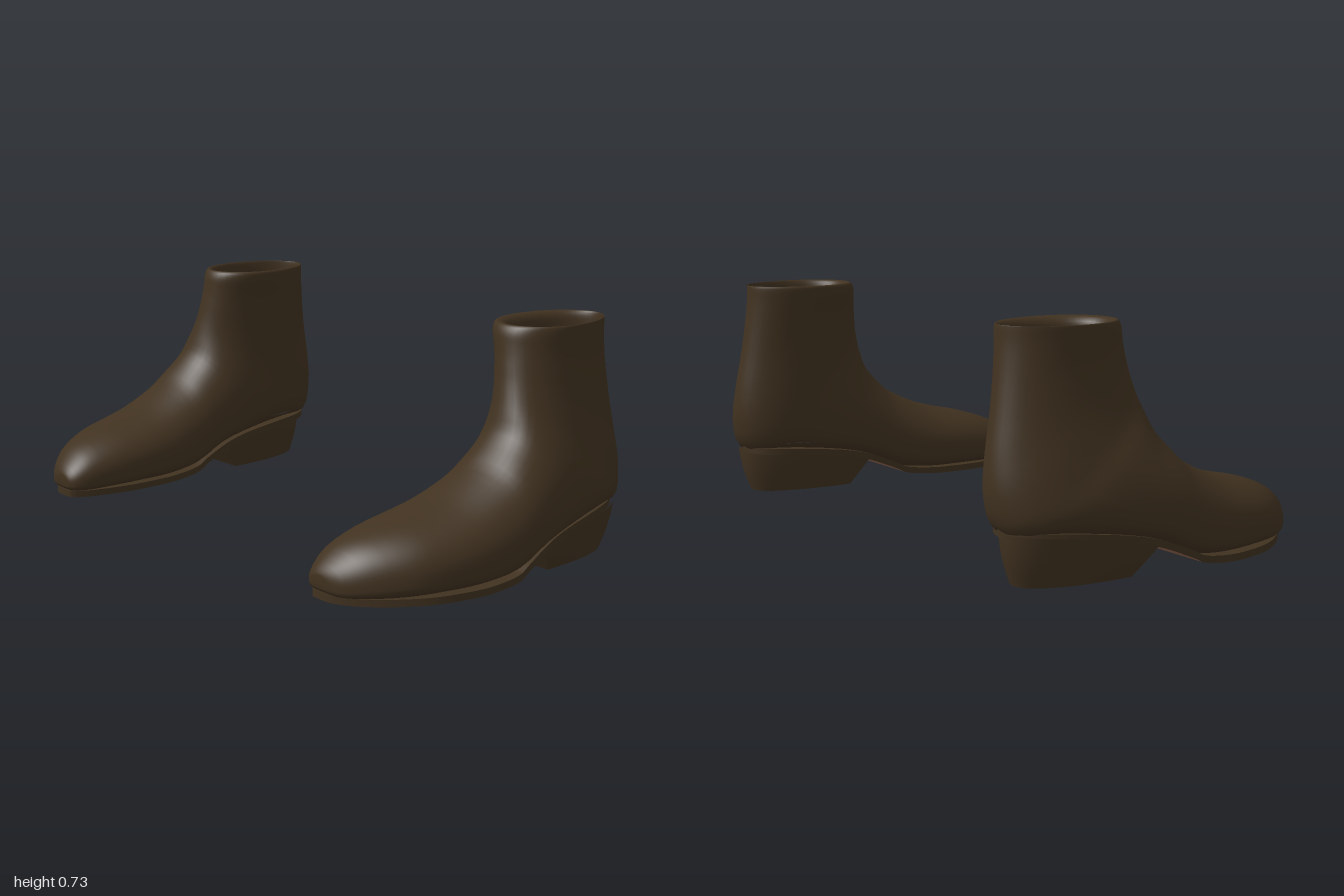
import * as THREE from 'three';
import { toCreasedNormals } from 'three/addons/utils/BufferGeometryUtils.js';

const leather = new THREE.MeshStandardMaterial({ color: 0x413220 });
leather.name = 'dark brown leather';
const soleLeather = new THREE.MeshStandardMaterial({ color: 0x946850 });
soleLeather.name = 'tan sole leather';
const rubber = new THREE.MeshStandardMaterial({ color: 0x2a2a2b });
rubber.name = 'dark grey rubber';

// Smoothly resample rows of numbers, n steps between neighbours
function resample(rows, n) {
  const out = [];
  const row = (i) => rows[Math.min(Math.max(i, 0), rows.length - 1)];
  for (let k = 0; k <= (rows.length - 1) * n; k++) {
    const i = Math.min(Math.floor(k / n), rows.length - 2);
    const t = k / n - i;
    out.push(row(i).map((p, c) => {
      const q = row(i + 1)[c];
      const m0 = (q - row(i - 1)[c]) / 2, m1 = (row(i + 2)[c] - p) / 2;
      const t2 = t * t, t3 = t2 * t;
      return p * (2 * t3 - 3 * t2 + 1) + m0 * (t3 - 2 * t2 + t) + q * (3 * t2 - 2 * t3) + m1 * (t3 - t2);
    }));
  }
  return out;
}

function build(points, index) {
  const g = new THREE.BufferGeometry();
  g.setAttribute('position', new THREE.Float32BufferAttribute(points.flat(), 3));
  g.setIndex(index);
  g.computeVertexNormals();
  return g;
}

// Skin a series of rings; optionally close the first ring with a fan
function loft(rings, closed = true, capStart = false) {
  const n = rings[0].length, index = [];
  const points = rings.flat();
  for (let i = 0; i < rings.length - 1; i++) {
    for (let j = 0; j < (closed ? n : n - 1); j++) {
      const a = i * n + j, b = i * n + (j + 1) % n;
      index.push(a, a + n, b, b, a + n, b + n);
    }
  }
  if (capStart) {
    points.push(middle(rings[0]));
    for (let j = 0; j < n; j++) index.push(points.length - 1, j, (j + 1) % n);
  }
  return build(points, index);
}

const middle = (ring) => [0, 1, 2].map((c) => ring.reduce((s, p) => s + p[c], 0) / ring.length);

// Fan that closes the last ring of a loft
function endCap(ring) {
  const index = [], n = ring.length;
  for (let j = 0; j < n; j++) index.push(n, (j + 1) % n, j);
  return build([...ring, middle(ring)], index);
}

// Upper sections from toe to cuff, then down the inside:
// [instep z, instep y, sole/back z, sole/back y, inner x, outer x]
const UPPER = [
  [0.563, 0.085, 0.56, 0.045, 0.665, 0.74],
  [0.545, 0.115, 0.545, 0.03, 0.64, 0.79],
  [0.48, 0.17, 0.49, 0.025, 0.612, 0.86],
  [0.37, 0.21, 0.40, 0.025, 0.592, 0.93],
  [0.26, 0.235, 0.29, 0.025, 0.585, 0.968],
  [0.16, 0.265, 0.16, 0.025, 0.59, 0.99],
  [0.05, 0.32, 0.03, 0.04, 0.605, 1.0],
  [0, 0.365, -0.1, 0.095, 0.618, 0.995],
  [-0.047, 0.42, -0.25, 0.125, 0.625, 0.978],
  [-0.068, 0.478, -0.42, 0.145, 0.63, 0.955],
  [-0.082, 0.528, -0.53, 0.155, 0.634, 0.93],
  [-0.092, 0.57, -0.565, 0.25, 0.636, 0.909],
  [-0.099, 0.608, -0.56, 0.36, 0.636, 0.893],
  [-0.105, 0.643, -0.54, 0.48, 0.633, 0.883],
  [-0.109, 0.675, -0.525, 0.58, 0.626, 0.878],
  [-0.113, 0.705, -0.515, 0.67, 0.616, 0.879],
  [-0.123, 0.726, -0.513, 0.722, 0.612, 0.881],
  [-0.136, 0.731, -0.511, 0.731, 0.622, 0.878],
  [-0.158, 0.715, -0.507, 0.715, 0.642, 0.872],
  [-0.165, 0.66, -0.507, 0.66, 0.647, 0.869],
  [-0.165, 0.45, -0.508, 0.45, 0.648, 0.868],
  [-0.165, 0.17, -0.508, 0.18, 0.65, 0.87],
];

function upperRings() {
  const STEPS = 3, SEG = 48;
  return resample(UPPER, STEPS).map(([az, ay, bz, by, xi, xo], k) => {
    // boxy and low in the foot, egg-shaped in the shaft
    const f = THREE.MathUtils.smoothstep(k / STEPS, 6.5, 13);
    const low = THREE.MathUtils.lerp(0.55, 1, f), mid = THREE.MathUtils.lerp(0.36, 0.55, f);
    return Array.from({ length: SEG }, (_, j) => {
      const a = (j / SEG) * Math.PI * 2, c = Math.cos(a), s = Math.sin(a);
      const e = c > 0 ? low : 0.95;
      const r = Math.pow(Math.abs(c), e);
      const v = c > 0 ? mid * (1 - r) : mid + (1 - mid) * r;
      const u = Math.sign(s) * Math.pow(Math.abs(s), e);
      return [(xi + xo) / 2 + ((xo - xi) / 2) * u, by + (ay - by) * v, bz + (az - bz) * v];
    });
  });
}

// Sole sections from toe to heel: [z, inner x, outer x, underside y]
const SOLE = [
  [0.562, 0.7, 0.7, 0.014], [0.554, 0.665, 0.745, 0.011],
  [0.52, 0.645, 0.80, 0.009], [0.45, 0.622, 0.87, 0.009],
  [0.35, 0.602, 0.935, 0.01], [0.25, 0.595, 0.97, 0.012],
  [0.15, 0.598, 0.988, 0.015], [0.05, 0.612, 0.99, 0.026],
  [0, 0.622, 0.985, 0.048], [-0.1, 0.632, 0.968, 0.088],
  [-0.2, 0.638, 0.95, 0.112], [-0.35, 0.648, 0.92, 0.131],
  [-0.45, 0.67, 0.885, 0.138], [-0.51, 0.71, 0.84, 0.142],
  [-0.537, 0.775, 0.775, 0.143],
];

// Heel levels from top to bottom: [front y, back y, front z, back z, inner x, outer x]
const HEEL = [
  [0.1, 0.155, -0.098, -0.535, 0.636, 0.958],
  [0.075, 0.11, -0.112, -0.53, 0.645, 0.945],
  [0.04, 0.055, -0.137, -0.517, 0.658, 0.928],
  [0, 0, -0.163, -0.497, 0.675, 0.905],
];

function heelRings() {
  const SEG = 28;
  return resample(HEEL, 2).map(([fy, by, fz, bz, xi, xo]) =>
    Array.from({ length: SEG + 1 }, (_, j) => {
      const a = (j / SEG) * Math.PI, c = Math.cos(a);
      const d = Math.pow(Math.max(Math.sin(a), 0), 0.92);
      const u = Math.sign(c) * Math.pow(Math.abs(c), 0.92);
      // the top edge arches to follow the sole
      return [(xi + xo) / 2 + ((xo - xi) / 2) * u, fy + (by - fy) * Math.sqrt(d), fz + (bz - fz) * d];
    }));
}

function mirrored(geometry) {
  const g = geometry.index ? geometry.toNonIndexed() : geometry.clone();
  g.scale(-1, 1, 1);
  // swap two corners of every triangle so the faces stay outward
  for (const a of Object.values(g.attributes)) {
    for (let i = 0; i < a.count; i += 3) {
      const p = new THREE.Vector3().fromBufferAttribute(a, i + 1);
      const q = new THREE.Vector3().fromBufferAttribute(a, i + 2);
      a.setXYZ(i + 1, q.x, q.y, q.z);
      a.setXYZ(i + 2, p.x, p.y, p.z);
    }
  }
  return g;
}

export function createModel() {
  const upper = upperRings(), heel = heelRings(), rows = resample(SOLE, 4);
  const T = 0.022; // welt thickness
  const welt = rows.map(([z, xi, xo, y]) => [[xo, y, z], [xo, y + T, z], [xi, y + T, z], [xi, y, z]]);
  const under = rows.map(([z, xi, xo, y]) => [[xi, y, z], [xo, y, z]]);
  const parts = [
    ['upper', loft(upper, true, true), leather],
    ['insole', endCap(upper[upper.length - 1]), rubber],
    ['welt', toCreasedNormals(loft(welt, false), 0.8), leather],
    ['outsole', loft(under, false), soleLeather],
    ['heel', toCreasedNormals(loft(heel), 0.8), leather],
    ['heelTip', endCap(heel[heel.length - 1]), rubber],
  ];

  const model = new THREE.Group();
  model.name = 'ankleBoots';
  for (const side of ['left', 'right']) {
    const boot = new THREE.Group();
    boot.name = side + 'Boot';
    for (const [name, geometry, material] of parts) {
      const mesh = new THREE.Mesh(side === 'left' ? geometry : mirrored(geometry), material);
      mesh.name = name;
      boot.add(mesh);
    }
    model.add(boot);
  }
  return model;
}
